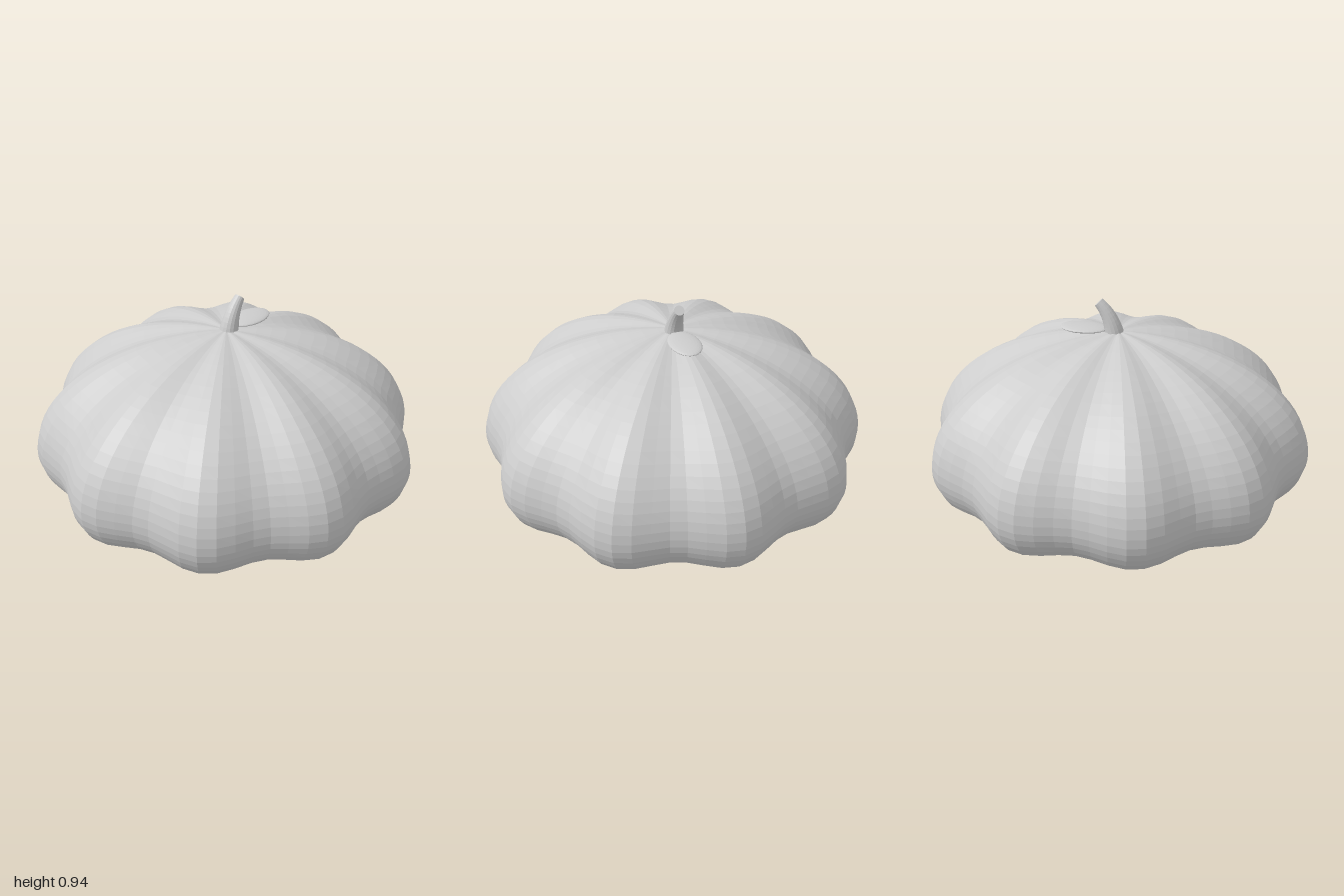
import * as THREE from 'three';

const SEGMENTS = 72, LOBES = 10, MID = 0.17;

// Half profile of a dome: flattened ellipse above the widest line, tucked in below it
function domeProfile(inset) {
  const points = [], rings = 24;
  const radius = 1 - inset, top = 0.61 - inset;
  const start = -0.345;
  for (let i = 0; i <= rings; i++) {
    const a = start + (Math.PI / 2 - start) * (i / rings);
    const y = MID + Math.sin(a) * (a < 0 ? 0.488 : top);
    points.push(new THREE.Vector2(Math.max(0, radius * Math.cos(a)), y));
  }
  return points;
}

// Hollow ribbed shell: down the inside, across the rim, up the outside
function shellGeometry() {
  const profile = [...domeProfile(0.025).reverse(), ...domeProfile(0)];
  const geometry = new THREE.LatheGeometry(profile, SEGMENTS);
  const p = geometry.attributes.position;
  for (let i = 0; i < p.count; i++) {
    const x = p.getX(i), y = p.getY(i), z = p.getZ(i);
    const lobe = 0.963 + 0.037 * Math.cos(LOBES * Math.atan2(z, x));
    const fade = 1 + (lobe - 1) * Math.min(1, Math.hypot(x, z));
    p.setXYZ(i, x * lobe, MID + (y - MID) * fade, z * lobe);
  }
  geometry.computeVertexNormals();
  return geometry;
}

// Tapered stem: a capped cylinder bent along a curve
function stemGeometry() {
  const path = new THREE.QuadraticBezierCurve3(
    new THREE.Vector3(0.02, 0.765, 0),
    new THREE.Vector3(0.035, 0.86, 0),
    new THREE.Vector3(0.1, 0.926, 0));
  const geometry = new THREE.CylinderGeometry(0.026, 0.05, 1, 16, 8);
  const p = geometry.attributes.position;
  for (let i = 0; i < p.count; i++) {
    const t = p.getY(i) + 0.5;
    const c = path.getPoint(t), d = path.getTangent(t);
    const x = p.getX(i);
    p.setXYZ(i, c.x + x * d.y, c.y - x * d.x, p.getZ(i));
  }
  geometry.computeVertexNormals();
  return geometry;
}

export function createModel() {
  const model = new THREE.Group();
  const grey = new THREE.MeshStandardMaterial({ color: 0xcccccc, flatShading: true });
  const add = (name, geometry) => {
    const mesh = new THREE.Mesh(geometry, grey);
    mesh.name = name;
    model.add(mesh);
    return mesh;
  };

  add('ribbedShell', shellGeometry());
  add('stem', stemGeometry());

  // Flat oval leaf lying beside the stem
  const leaf = add('leaf', new THREE.SphereGeometry(1, 32, 16));
  leaf.scale.set(0.125, 0.016, 0.08);
  leaf.position.set(0.18, 0.785, 0);

  return model;
}
